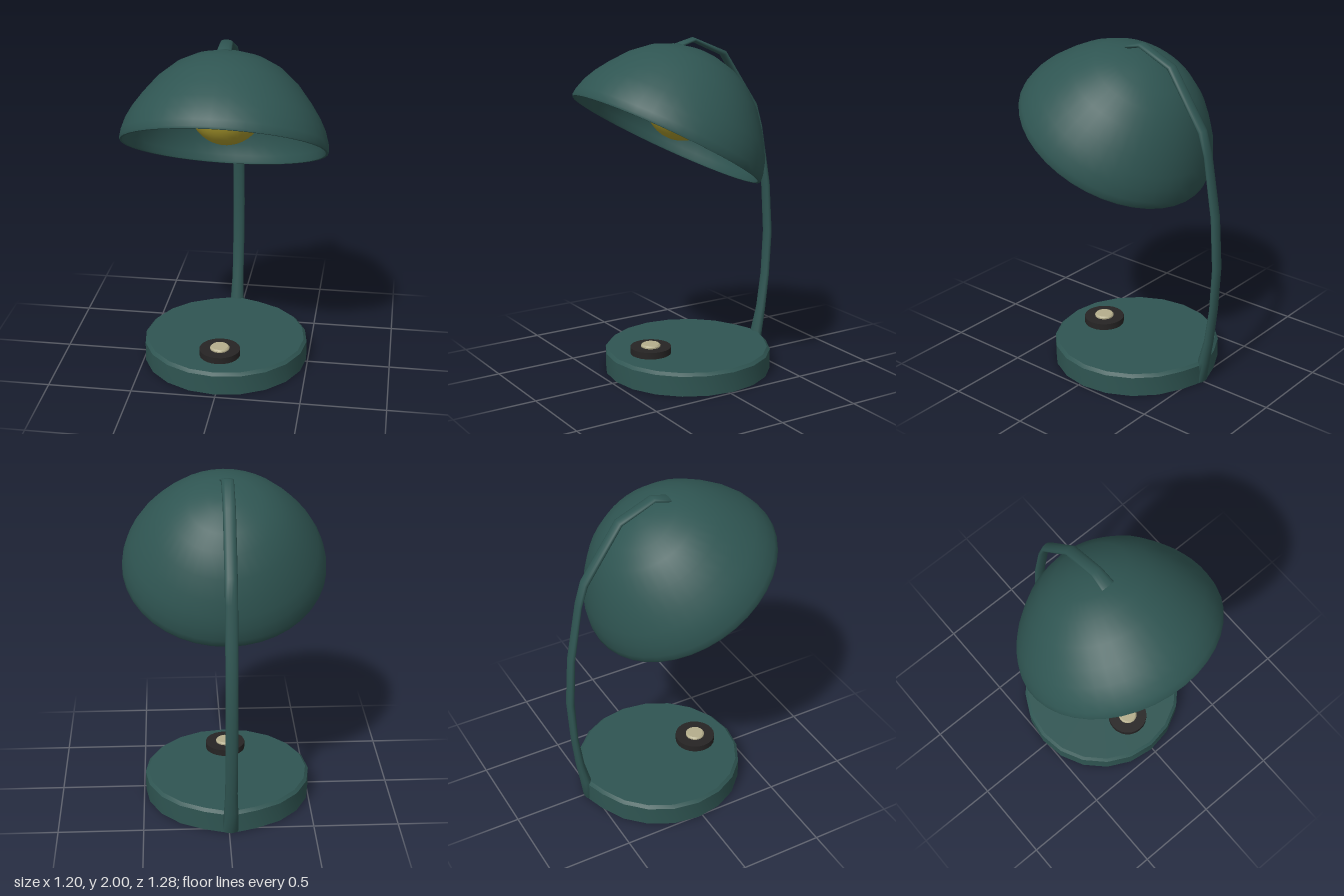
import * as THREE from 'three';
import { toCreasedNormals } from 'three/addons/utils/BufferGeometryUtils.js';

const paint = (color, side = THREE.FrontSide) => new THREE.MeshStandardMaterial({ color, side });

function part(parent, name, geometry, material, x = 0, y = 0, z = 0) {
  const mesh = new THREE.Mesh(geometry, material);
  mesh.name = name;
  mesh.position.set(x, y, z);
  parent.add(mesh);
  return mesh;
}

function lathe(points, segments, crease = 0.6) {
  const profile = points.map(([r, y]) => new THREE.Vector2(r, y));
  return toCreasedNormals(new THREE.LatheGeometry(profile, segments), crease);
}

// Elliptical tube lofted in the YZ plane; stations are [z, y, halfWidth, halfDepth]
function loft(stations, sides) {
  const positions = [], index = [];
  const last = stations.length - 1;
  stations.forEach(([z, y, w, d], i) => {
    const a = stations[Math.max(0, i - 1)], b = stations[Math.min(last, i + 1)];
    const tangent = new THREE.Vector2(b[0] - a[0], b[1] - a[1]).normalize();
    for (let s = 0; s < sides; s++) {
      const t = (s / sides) * Math.PI * 2;
      const off = Math.sin(t) * d;
      positions.push(Math.cos(t) * w, y - tangent.x * off, z + tangent.y * off);
      if (i < last) {
        const p = i * sides + s, q = i * sides + (s + 1) % sides;
        index.push(p, p + sides, q, q, p + sides, q + sides);
      }
    }
  });
  // End caps
  for (let s = 1; s < sides - 1; s++) {
    const e = last * sides;
    index.push(0, s, s + 1, e, e + s + 1, e + s);
  }
  const geometry = new THREE.BufferGeometry();
  geometry.setAttribute('position', new THREE.Float32BufferAttribute(positions, 3));
  geometry.setIndex(index);
  geometry.computeVertexNormals();
  return geometry;
}

export function createModel() {
  const lamp = new THREE.Group();
  lamp.name = 'deskLamp';
  const green = paint(0x2f5552);
  const greenBoth = paint(0x2f5552, THREE.DoubleSide);
  const cx = -0.01;

  // Round base with a chamfered rim, pulled out at the back where the stem joins
  const baseGeometry = lathe([[0, 0], [0.5, 0], [0.5, 0.12], [0.482, 0.137], [0, 0.137]], 20);
  const pos = baseGeometry.attributes.position;
  for (let i = 0; i < pos.count; i++) {
    if (Math.abs(pos.getX(i)) < 0.01 && pos.getZ(i) < -0.45) pos.setZ(i, pos.getZ(i) - 0.025);
  }
  part(lamp, 'base', baseGeometry, green, cx, 0, -0.03);

  // Push button
  part(lamp, 'buttonRing', lathe([[0, 0], [0.122, 0], [0.122, 0.042], [0, 0.042]], 24),
    paint(0x262424), cx, 0.135, 0.23);
  part(lamp, 'buttonCap', lathe([[0, 0], [0.058, 0], [0.058, 0.012], [0.05, 0.02], [0, 0.02]], 20),
    paint(0xb5ae8c), cx, 0.173, 0.23);

  // Curved stem that arches over to the crown of the shade
  part(lamp, 'stem', loft([
    [-0.525, 0.005, 0.05, 0.03],
    [-0.545, 0.14, 0.042, 0.032],
    [-0.575, 0.28, 0.036, 0.025],
    [-0.603, 0.5, 0.036, 0.02],
    [-0.617, 0.77, 0.036, 0.022],
    [-0.597, 1.08, 0.036, 0.02],
    [-0.536, 1.44, 0.036, 0.015],
    [-0.495, 1.57, 0.036, 0.02],
    [-0.275, 1.895, 0.036, 0.018],
    [-0.065, 1.985, 0.036, 0.013],
    [0.03, 1.96, 0.042, 0.012],
  ], 12), green, cx);

  // Tilted shade: outer dome, rolled rim and inner dome in one profile
  const head = new THREE.Group();
  head.name = 'head';
  head.position.set(0, 1.418, 0.125);
  head.rotation.x = -0.516;
  lamp.add(head);

  const outer = [[0.598, 0.012], [0.594, 0.05], [0.574, 0.12], [0.54, 0.19], [0.487, 0.272],
    [0.412, 0.37], [0.31, 0.462], [0.21, 0.515], [0.1, 0.546], [0, 0.555]];
  const inner = outer.map(([r, y]) => [r * 0.965, y * 0.965]).reverse();
  part(head, 'shade', lathe([...inner, [0.582, 0], [0.594, 0], ...outer], 40, 0.9), greenBoth);

  // Bulb and its socket
  part(head, 'bulb', new THREE.SphereGeometry(0.213, 28, 18), paint(0xa8982c), 0, 0.23, 0);
  part(head, 'socket', new THREE.CylinderGeometry(0.08, 0.1, 0.14, 20), green, 0, 0.475, 0);

  return lamp;
}
